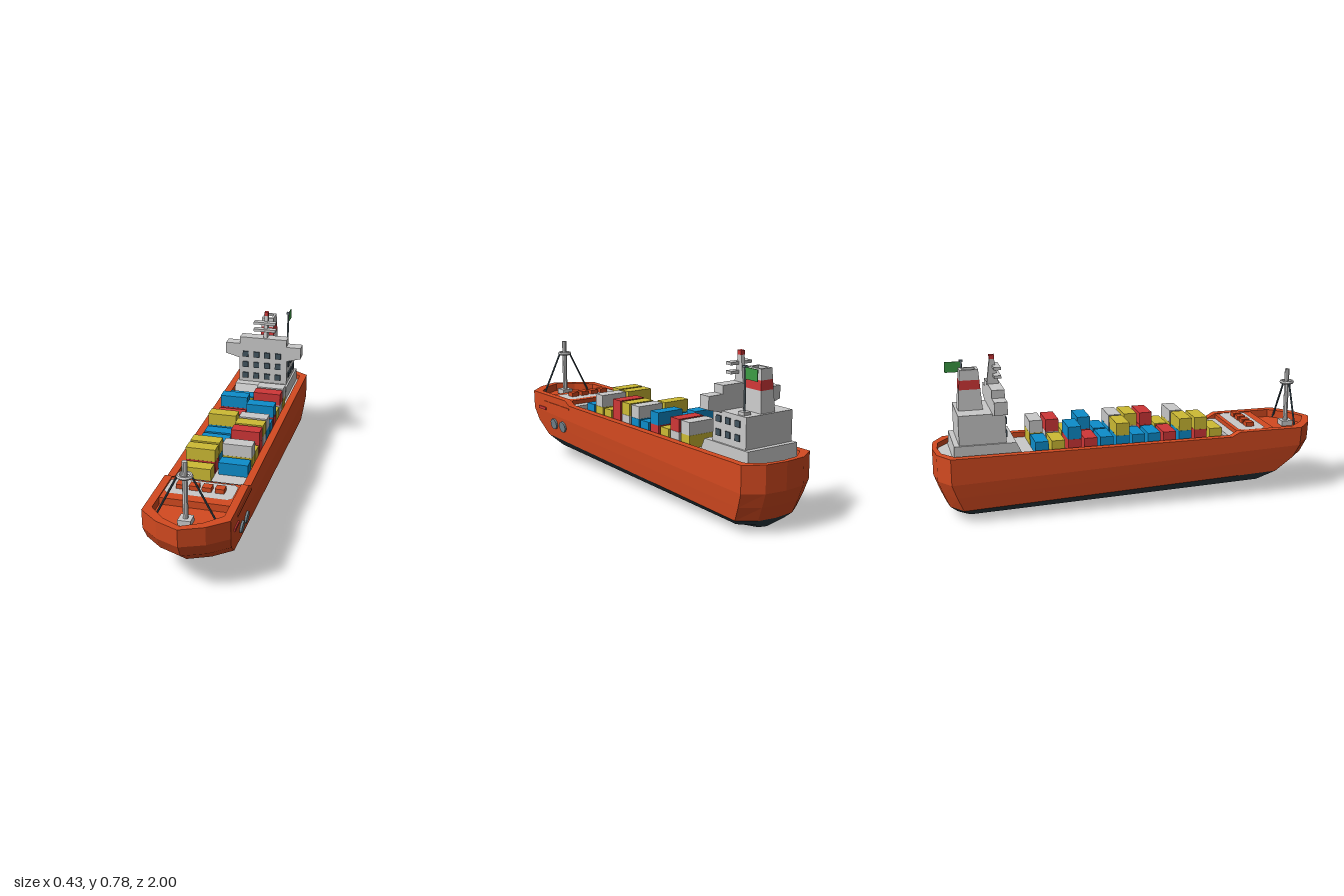
import * as THREE from 'three';

const mat = (name, color) => {
  const m = new THREE.MeshStandardMaterial({ color });
  m.name = name;
  m.flatShading = true;
  return m;
};

export function createModel() {
  const ship = new THREE.Group();
  ship.name = 'cargoShip';
  const orange = mat('hullOrange', 0xd44a20), dark = mat('bottomDark', 0x2c3a41);
  const grey = mat('paintGrey', 0xcacaca), yellow = mat('yellow', 0xcdbb34);
  const blue = mat('blue', 0x0d8dcb), red = mat('red', 0xcf3637);
  const slate = mat('windowSlate', 0x43545f), steel = mat('steel', 0x74858e);
  const green = mat('flagGreen', 0x3c9c45);
  green.side = THREE.DoubleSide;

  const add = (name, geo, m, x = 0, y = 0, z = 0, parent = ship) => {
    const mesh = new THREE.Mesh(geo, m);
    mesh.name = name;
    mesh.position.set(x, y, z);
    parent.add(mesh);
    return mesh;
  };
  // box given by its extents
  const box = (name, m, x0, x1, y0, y1, z0, z1, parent = ship) =>
    add(name, new THREE.BoxGeometry(x1 - x0, y1 - y0, z1 - z0), m,
      (x0 + x1) / 2, (y0 + y1) / 2, (z0 + z1) / 2, parent);
  // side profile of [z, y] points, swept across x
  const prism = (name, m, pts, x0, x1) => {
    const shape = new THREE.Shape(pts.map(p => new THREE.Vector2(...p)));
    const g = new THREE.ExtrudeGeometry(shape, { depth: x1 - x0, bevelEnabled: false });
    return add(name, g.rotateY(-Math.PI / 2).translate(x1, 0, 0), m);
  };
  // rod between two points
  const rod = (name, m, a, b, r) => {
    const p = new THREE.Vector3(...a), q = new THREE.Vector3(...b);
    const mesh = add(name, new THREE.CylinderGeometry(r, r, p.distanceTo(q), 8), m);
    mesh.position.copy(p).add(q).multiplyScalar(0.5);
    mesh.quaternion.setFromUnitVectors(new THREE.Vector3(0, 1, 0), q.sub(p).normalize());
  };

  // Hull: horizontal outlines from keel to rim, running bow > left > stern > right
  const outline = (w, zb, zs, yAt) => {
    const half = [[w * 0.55, zb - 0.05], [w, zb - 0.13], [w, Math.min(0.53, zb - 0.15)],
      [w, Math.min(0.49, zb - 0.17)], [w, -0.3], [w, zs + 0.07], [w * 0.55, zs + 0.012]];
    const pts = [[0, zb], ...half, [0, zs], ...half.map(([x, z]) => [-x, z]).reverse()];
    return pts.map(([x, z]) => [x, yAt(z), z]);
  };
  const slope = (zb, yb, zs, ys) => z => ys + (yb - ys) * (z - zs) / (zb - zs);
  const ring = (w, zb, yb, zs, ys) => outline(w, zb, zs, slope(zb, yb, zs, ys));
  const sheer = z => (z > 0.5 ? 0.355 : 0.333);
  const deckY = 0.307;
  const keel = ring(0.075, 0.57, 0.045, -0.88, 0.001);
  const bilge = ring(0.15, 0.78, 0.08, -0.91, 0.028);
  const water = ring(0.188, 0.87, 0.13, -0.945, 0.06);
  const flare = ring(0.197, 0.96, 0.2, -0.975, 0.13);
  const knuckle = ring(0.205, 0.995, 0.265, -1, 0.2);
  const rim = outline(0.205, 1, -1, sheer);
  const inner = outline(0.167, 0.965, -0.975, sheer);
  const foot = outline(0.167, 0.965, -0.975, () => deckY);
  const loft = (name, m, rings, closeBottom) => {
    const pos = [], n = rings[0].length;
    for (let k = 0; k + 1 < rings.length; k++) {
      for (let i = 0; i < n; i++) {
        const j = (i + 1) % n, a = rings[k], b = rings[k + 1];
        pos.push(...a[i], ...a[j], ...b[j], ...a[i], ...b[j], ...b[i]);
      }
    }
    if (closeBottom) {
      for (let i = 0; i < n; i++) pos.push(0, 0.023, -0.15, ...rings[0][(i + 1) % n], ...rings[0][i]);
    }
    const g = new THREE.BufferGeometry();
    g.setAttribute('position', new THREE.Float32BufferAttribute(pos, 3));
    g.computeVertexNormals();
    return add(name, g, m);
  };
  loft('hullBottom', dark, [keel, bilge, water], true);
  loft('hullSides', orange, [water, flare, knuckle, rim, inner, foot], false);

  // Decks
  const plate = (name, m, pts, y) => {
    const s = new THREE.Shape(pts.map(([x, , z]) => new THREE.Vector2(x, -z)));
    add(name, new THREE.ShapeGeometry(s).rotateX(-Math.PI / 2), m, 0, y, 0);
  };
  plate('mainDeck', grey, foot, deckY);
  plate('bowWell', orange, [[-0.167, 0, 0.7], ...foot.slice(-2), ...foot.slice(0, 3), [0.167, 0, 0.7]], 0.315);
  box('forecastle', orange, -0.17, 0.17, 0.3, 0.35, 0.53, 0.735);
  box('breakwater', grey, -0.166, 0.166, 0.3, 0.328, 0.485, 0.53);

  // Forecastle panel with chamfered corners and four hatches
  const px = 0.163, c = 0.02;
  plate('forecastlePanel', grey, [[-px + c, 0, 0.545], [px - c, 0, 0.545], [px, 0, 0.565], [px, 0, 0.67],
    [px - c, 0, 0.69], [-px + c, 0, 0.69], [-px, 0, 0.67], [-px, 0, 0.565]].reverse(), 0.354);
  for (const x of [-0.093, -0.031, 0.031, 0.093])
    box('hatch', orange, x - 0.022, x + 0.022, 0.345, 0.376, 0.6, 0.642);

  // Containers, stern to bow: colours listed bottom to top
  const paint = { y: yellow, b: blue, r: red, g: grey };
  const stacks = {
    right: ['b', 'y', 'rb', 'r', 'b', 'by', 'b', 'b', 'r', 'by', 'ry', 'y'],
    left: ['yg', 'gr', 'y', 'rb', 'b', 'bg', 'gy', 'rr', 'y', 'yg', 'b', '']
  };
  const cargo = new THREE.Group();
  cargo.name = 'containers';
  ship.add(cargo);
  for (const [side, list] of Object.entries(stacks)) {
    const x = side === 'right' ? -0.148 : 0.014;
    list.forEach((stack, i) => [...stack].forEach((k, t) => {
      const z = -0.48 + i * 0.0818, y = deckY + t * 0.0635;
      box('container', paint[k], x, x + 0.147, y, y + 0.063, z - 0.033, z + 0.033, cargo);
    }));
  }

  // Deckhouse and bridge
  prism('deckhouseBase', grey, [[-0.91, 0.305], [-0.57, 0.305], [-0.605, 0.377], [-0.905, 0.377]], -0.147, 0.147);
  box('deckhouse', grey, -0.137, 0.137, 0.37, 0.525, -0.88, -0.652);
  const half = [[0.133, 0.515], [0.214, 0.537], [0.214, 0.6], [0.133, 0.6], [0.133, 0.64]];
  const bridge = new THREE.Shape([...half, ...half.map(([x, y]) => [-x, y]).reverse()]
    .map(p => new THREE.Vector2(...p)));
  add('bridge', new THREE.ExtrudeGeometry(bridge, { depth: 0.063, bevelEnabled: false }), grey, 0, 0, -0.715);
  for (const y of [0.415, 0.48, 0.542])
    for (const x of [-0.099, -0.037, 0.025, 0.087])
      box('frontWindow', slate, x - 0.016, x + 0.016, y - 0.016, y + 0.016, -0.655, -0.643);
  for (const y of [0.423, 0.487])
    for (const z of [-0.695, -0.76, -0.825])
      box('sideWindow', slate, 0.13, 0.143, y - 0.015, y + 0.015, z - 0.016, z + 0.016);

  // Funnel: tapered square tube in three bands
  const funnel = (name, m, y0, y1) => {
    const s = y => 1 - (y - 0.52) * 1.2;
    const g = new THREE.CylinderGeometry(Math.SQRT1_2 * s(y1), Math.SQRT1_2 * s(y0), y1 - y0, 4, 1, name === 'funnelTop');
    g.rotateY(Math.PI / 4).scale(0.085, 1, 0.12);
    add(name, g, m, 0, (y0 + y1) / 2, -0.808);
  };
  funnel('funnelBase', grey, 0.52, 0.627);
  funnel('funnelBand', red, 0.627, 0.673);
  funnel('funnelTop', grey, 0.673, 0.722);
  const lip = new THREE.Shape([[-0.0325, -0.0455], [0.0325, -0.0455], [0.0325, 0.0455], [-0.0325, 0.0455]]
    .map(p => new THREE.Vector2(...p)));
  lip.holes.push(new THREE.Path([[-0.02, -0.032], [-0.02, 0.032], [0.02, 0.032], [0.02, -0.032]]
    .map(p => new THREE.Vector2(...p))));
  add('funnelLip', new THREE.ExtrudeGeometry(lip, { depth: 0.012, bevelEnabled: false })
    .rotateX(-Math.PI / 2), grey, 0, 0.712, -0.808);
  box('funnelInside', slate, -0.03, 0.03, 0.67, 0.7, -0.845, -0.771);

  // Radar mast
  prism('radarMast', grey, [[-0.72, 0.635], [-0.66, 0.635], [-0.68, 0.765], [-0.703, 0.765]], 0, 0.02);
  box('mastTop', red, -0.001, 0.021, 0.764, 0.785, -0.704, -0.679);
  for (const y of [0.685, 0.726])
    box('radarBar', grey, -0.056, 0.067, y - 0.007, y + 0.007, -0.69, -0.655);

  // Flag
  rod('flagPole', steel, [0.105, 0.52, -0.83], [0.105, 0.74, -0.83], 0.005);
  box('flagPoleFoot', grey, 0.085, 0.125, 0.52, 0.54, -0.85, -0.81);
  box('flagPoleCap', steel, 0.096, 0.114, 0.736, 0.745, -0.839, -0.821);
  box('flag', green, 0.103, 0.107, 0.685, 0.738, -0.912, -0.833);

  // Foremast with ring and stays
  rod('foremast', grey, [0, 0.31, 0.868], [0, 0.62, 0.868], 0.013);
  box('foremastFoot', grey, -0.03, 0.03, 0.31, 0.342, 0.838, 0.898);
  add('foremastRing', new THREE.TorusGeometry(0.029, 0.009, 6, 16).rotateX(Math.PI / 2), grey, 0, 0.55, 0.868);
  box('ringSpoke', grey, -0.029, 0.029, 0.546, 0.554, 0.862, 0.874);
  for (const s of [-1, 1])
    rod('stay', slate, [s * 0.033, 0.548, 0.868], [s * 0.15, 0.315, 0.86], 0.005);

  // Fittings on the left bow
  for (const z of [0.653, 0.562]) {
    const disc = add('porthole', new THREE.CylinderGeometry(0.03, 0.03, 0.018, 16).rotateZ(Math.PI / 2),
      steel, 0.2, 0.203, z);
    disc.rotation.z = -0.12;
  }
  box('bowFitting', red, 0.198, 0.211, 0.267, 0.282, 0.735, 0.81);
  box('rubbingStrake', orange, 0.2, 0.209, 0.309, 0.318, 0.49, 0.75);
  return ship;
}
